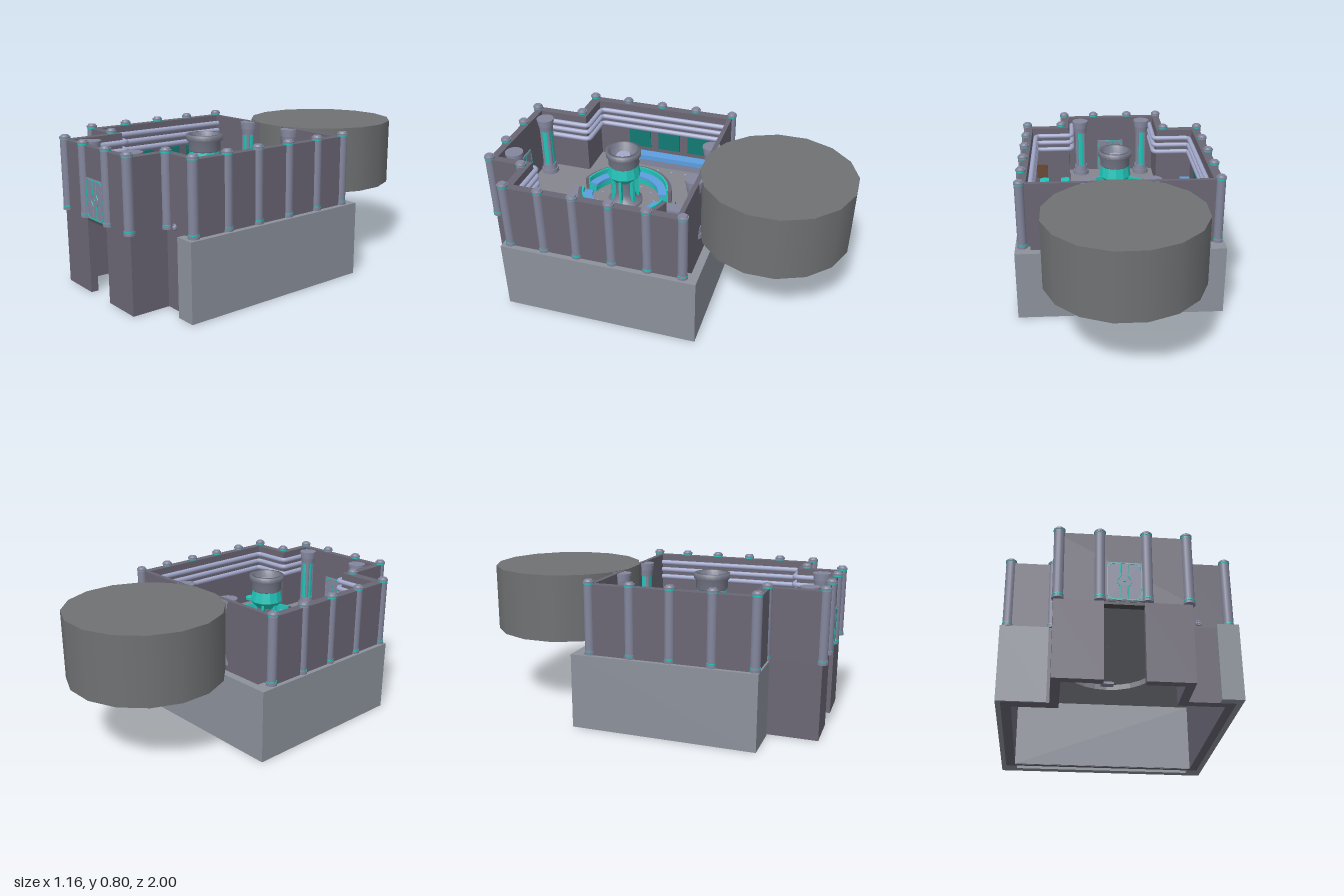
import * as THREE from 'three';

const mat = (color, extra = {}) => new THREE.MeshStandardMaterial({ color, ...extra });
const M = {
  wall: mat(0x6a6674), stone: mat(0x8c919b), column: mat(0x83869c), floor: mat(0x85868f),
  drum: mat(0x6f7173), dark: mat(0x4a4a50), teal: mat(0x22c4b8), screen: mat(0x127a74),
  blue: mat(0x5c9fe0), pipe: mat(0xa3a9cc), brown: mat(0x6b4a35),
  bowl: mat(0x757888, { side: THREE.DoubleSide }),
  tealFacet: mat(0x22c4b8, { flatShading: true, side: THREE.DoubleSide }),
};

// Room footprint as [x, z] corners, outer and inner face of the wall
const OUTER = [[-0.56, -0.2], [0.55, -0.2], [0.55, 0.77], [0.32, 0.77], [0.32, 0.975],
  [-0.33, 0.975], [-0.33, 0.7], [-0.56, 0.7]];
const INNER = [[-0.51, -0.175], [0.505, -0.175], [0.505, 0.725], [0.275, 0.725], [0.275, 0.935],
  [-0.285, 0.935], [-0.285, 0.645], [-0.51, 0.645]];

export function createModel() {
  const root = new THREE.Group();

  const add = (name, geo, material, x = 0, y = 0, z = 0, parent = root) => {
    const m = new THREE.Mesh(geo, material);
    m.name = name;
    m.position.set(x, y, z);
    parent.add(m);
    return m;
  };
  const box = (name, material, x0, x1, y0, y1, z0, z1) => add(name,
    new THREE.BoxGeometry(x1 - x0, y1 - y0, z1 - z0), material, (x0 + x1) / 2, (y0 + y1) / 2, (z0 + z1) / 2);
  const cyl = (name, material, r0, r1, y0, y1, x, z, n = 16, parent = root) => add(name,
    new THREE.CylinderGeometry(r1, r0, y1 - y0, n), material, x, (y0 + y1) / 2, z, parent);
  const vec = pts => pts.map(([x, z]) => new THREE.Vector2(x, -z));
  // Plan shape raised from y0 to y1
  const slab = (name, material, shape, y0, y1, x = 0, z = 0) => {
    const g = new THREE.ExtrudeGeometry(shape, { depth: y1 - y0, bevelEnabled: false, curveSegments: 12 });
    return add(name, g.rotateX(-Math.PI / 2), material, x, y0, z);
  };
  // Corners are reversed to run counter-clockwise, so that holes face the right way
  const plan = pts => new THREE.Shape(vec(pts).reverse());
  const octagon = (w, h, c) => [[-w, -h + c], [-w + c, -h], [w - c, -h], [w, -h + c],
    [w, h - c], [w - c, h], [-w + c, h], [-w, h - c]].map(([x, y]) => new THREE.Vector2(x, y));

  // Lower storey: thin dark walls with an open doorway at the front
  const door = 0.095;
  slab('lowerWalls', M.wall, plan([
    [door, 0.975], ...[4, 3, 2, 1, 0, 7, 6, 5].map(i => OUTER[i]), [-door, 0.975],
    [-door, 0.935], ...[5, 6, 7, 0, 1, 2, 3, 4].map(i => INNER[i]), [door, 0.935]]), 0, 0.405);
  box('doorLintel', M.dark, -door, door, 0.39, 0.405, 0.935, 0.972);
  box('backLining', M.stone, -0.51, 0.505, 0.002, 0.39, -0.176, -0.17);

  // Stone cladding around the sides and back, leaving a slot behind the back wall
  slab('stoneCladding', M.stone, plan([
    [-0.345, 0.71], [-0.585, 0.71], [-0.585, -0.29], [0.58, -0.29], [0.58, 0.815], [0.47, 0.815],
    [0.47, 0.77], [0.55, 0.77], [0.55, -0.2], [0.495, -0.2], [0.495, -0.245], [-0.5, -0.245],
    [-0.5, -0.2], [-0.56, -0.2], [-0.56, 0.7], [-0.345, 0.7]]), 0, 0.404);

  // Floor between the storeys, with a round well beneath the dais
  const floor = plan(INNER);
  floor.holes.push(new THREE.Path().absarc(0, -0.3, 0.26, 0, Math.PI * 2, true));
  slab('floor', M.floor, floor, 0.39, 0.408);

  // Upper walls
  const ring = plan(OUTER);
  ring.holes.push(new THREE.Path(vec(INNER)));
  slab('upperWalls', M.wall, ring, 0.405, 0.777);

  // Columns around the outside
  const spots = [
    ...[-0.195, 0.03, 0.245, 0.465, 0.685].map(z => [-0.548, z]),
    ...[-0.21, -0.02, 0.18, 0.38, 0.57, 0.77].map(z => [0.54, z]),
    ...[-0.31, -0.115, 0.11, 0.305].map(x => [x, 0.97]), [-0.33, 0.685], [0.325, 0.77]];
  for (const [x, z] of spots) {
    const g = new THREE.Group();
    g.name = 'outerColumn';
    root.add(g);
    cyl('shaft', M.column, 0.026, 0.026, 0.405, 0.786, x, z, 16, g);
    cyl('foot', M.column, 0.029, 0.029, 0.405, 0.418, x, z, 16, g);
    cyl('head', M.column, 0.029, 0.029, 0.785, 0.793, x, z, 16, g);
    cyl('cap', M.column, 0.024, 0.02, 0.793, 0.802, x, z, 16, g);
    for (const y of [0.422, 0.778]) cyl('tealBand', M.teal, 0.0275, 0.0275, y, y + 0.006, x, z, 16, g);
  }

  // Round side chamber behind the room
  add('drum', new THREE.CylinderGeometry(0.423, 0.423, 0.373, 16).rotateY(Math.PI / 16), M.drum, 0, 0.5925, -0.585);

  // Front door, shown on both faces of the wall
  const trim = new THREE.Shape(octagon(0.083, 0.102, 0.022));
  trim.holes.push(new THREE.Path(octagon(0.078, 0.097, 0.02)));
  for (const [z, turn] of [[0.975, 0], [0.935, Math.PI]]) {
    const g = new THREE.Group();
    g.name = 'frontDoor';
    g.position.set(0, 0.513, z);
    g.rotation.y = turn;
    root.add(g);
    add('doorPanel', new THREE.BoxGeometry(0.17, 0.21, 0.01), M.column, 0, 0, 0.001, g);
    add('doorTrim', new THREE.ExtrudeGeometry(trim, { depth: 0.004, bevelEnabled: false }), M.teal, 0, 0, 0.004, g);
    for (const s of [-1, 1]) {
      const line = [[0.017, -0.097], [0.017, -0.03], [0.033, -0.008], [0.033, 0.008], [0.017, 0.03], [0.017, 0.097]];
      const path = new THREE.CurvePath();
      for (let i = 1; i < line.length; i++) path.add(new THREE.LineCurve3(
        new THREE.Vector3(s * line[i - 1][0], line[i - 1][1], 0), new THREE.Vector3(s * line[i][0], line[i][1], 0)));
      add('doorSeam', new THREE.TubeGeometry(path, 40, 0.003, 6), M.teal, 0, 0, 0.006, g);
    }
    add('doorStud', new THREE.SphereGeometry(0.005, 10, 8), M.teal, 0, 0, 0.006, g);
  }
  add('wallLamp', new THREE.TorusGeometry(0.012, 0.005, 8, 16), M.column, 0.39, 0.427, 0.774);
  add('wallLampCore', new THREE.SphereGeometry(0.009, 12, 8), M.pipe, 0.39, 0.427, 0.772);

  // Three pipes along each side wall
  const runs = [[[-0.49, -0.17], [-0.49, 0.625], [-0.265, 0.625], [-0.265, 0.93]],
    [[0.487, -0.17], [0.487, 0.71], [0.257, 0.71], [0.257, 0.93]]];
  for (const run of runs) for (const y of [0.64, 0.685, 0.73]) {
    const p = run.map(([x, z]) => new THREE.Vector3(x, y, z));
    const path = new THREE.CurvePath();
    let from = p[0];
    for (let i = 1; i < 3; i++) {
      const a = p[i].clone().add(p[i - 1].clone().sub(p[i]).setLength(0.03));
      const b = p[i].clone().add(p[i + 1].clone().sub(p[i]).setLength(0.03));
      path.add(new THREE.LineCurve3(from, a));
      path.add(new THREE.QuadraticBezierCurve3(a, p[i], b));
      from = b;
    }
    path.add(new THREE.LineCurve3(from, p[3]));
    add('wallPipe', new THREE.TubeGeometry(path, 90, 0.015, 8), M.pipe);
  }

  // Inner columns with teal shafts
  for (const [x, z] of [[-0.18, -0.165], [0.175, -0.165], [-0.205, 0.875], [0.2, 0.875]]) {
    const g = new THREE.Group();
    g.name = 'innerColumn';
    root.add(g);
    cyl('foot', M.column, 0.052, 0.05, 0.408, 0.435, x, z, 20, g);
    cyl('collar', M.column, 0.044, 0.04, 0.435, 0.47, x, z, 20, g);
    cyl('tealShaft', M.teal, 0.034, 0.034, 0.47, 0.7, x, z, 20, g);
    for (let i = 0; i < 4; i++) {
      const a = Math.PI * (i / 2 + 0.25);
      cyl('rib', M.column, 0.012, 0.012, 0.47, 0.7, x + 0.029 * Math.cos(a), z + 0.029 * Math.sin(a), 8, g);
    }
    cyl('neck', M.column, 0.04, 0.044, 0.7, 0.735, x, z, 20, g);
    cyl('head', M.column, 0.046, 0.046, 0.735, 0.76, x, z, 20, g);
    cyl('headRing', M.column, 0.051, 0.051, 0.76, 0.775, x, z, 20, g);
  }

  // Round dais over the well, with two curved benches open towards front and back
  const rim = new THREE.Shape(Array.from({ length: 12 }, (_, i) =>
    new THREE.Vector2(0.295 * Math.cos((i + 0.5) * Math.PI / 6), 0.295 * Math.sin((i + 0.5) * Math.PI / 6))));
  rim.holes.push(new THREE.Path().absarc(0, 0, 0.26, 0, Math.PI * 2, true));
  slab('daisRim', M.floor, rim, 0.408, 0.428, 0, 0.3);
  cyl('daisTop', M.floor, 0.262, 0.262, 0.422, 0.43, 0, 0.3, 24);
  const sector = (name, material, r0, r1, y0, y1, start) => {
    const s = new THREE.Shape().absarc(0, 0, r1, start, start + Math.PI - 0.36, false);
    s.absarc(0, 0, r0, start + Math.PI - 0.36, start, true);
    slab(name, material, s, y0, y1, 0, 0.3);
  };
  for (const start of [-Math.PI / 2 + 0.18, Math.PI / 2 + 0.18]) {
    sector('benchBase', M.teal, 0.2, 0.24, 0.428, 0.47, start);
    sector('benchSeat', M.blue, 0.19, 0.24, 0.47, 0.485, start);
    sector('benchBack', M.teal, 0.24, 0.25, 0.428, 0.515, start);
    sector('benchShell', M.wall, 0.25, 0.272, 0.428, 0.505, start);
  }
  for (const [z0, z1] of [[-0.04, 0.085], [0.515, 0.635]]) box('daisStep', M.column, -0.037, 0.037, 0.408, 0.438, z0, z1);
  for (let i = 0; i < 12; i++) {
    const a = (i + 0.5) * Math.PI / 6;
    cyl('floorStud', M.pipe, 0.005, 0.005, 0.428, 0.433, 0.165 * Math.cos(a), 0.3 + 0.165 * Math.sin(a), 8);
  }
  for (let i = 0; i < 6; i++) cyl('floorStud', M.pipe, 0.006, 0.006, 0.408, 0.412, -0.395, 0.05 + i * 0.09, 8);

  // Central pedestal carrying a bowl
  const lathe = (name, material, pts, n) =>
    add(name, new THREE.LatheGeometry(pts.map(p => new THREE.Vector2(...p)), n), material, 0, 0, 0.3);
  lathe('pedestal', M.bowl, [[0.1, 0.428], [0.1, 0.45], [0.07, 0.46], [0.055, 0.5], [0.055, 0.6], [0.075, 0.63]], 20);
  lathe('tealDrum', M.tealFacet, [[0.06, 0.58], [0.094, 0.62], [0.082, 0.69], [0, 0.7]], 12);
  lathe('bowl', M.bowl, [[0.08, 0.68], [0.088, 0.69], [0.088, 0.735], [0.1, 0.745], [0.1, 0.775],
    [0.078, 0.775], [0.07, 0.725], [0, 0.72]], 24);
  cyl('bowlCore', M.pipe, 0.055, 0.038, 0.718, 0.745, 0, 0.3, 20);
  for (let i = 0; i < 6; i++) {
    const fin = add('pedestalFin', new THREE.BoxGeometry(0.03, 0.15, 0.015), M.teal,
      0.065 * Math.cos(i * Math.PI / 3), 0.53, 0.3 + 0.065 * Math.sin(i * Math.PI / 3));
    fin.rotation.y = -i * Math.PI / 3;
  }

  // Corner sofa on the right side, with screens on the wall above
  const sofa = [[-0.497, -0.165], [-0.25, -0.165], [-0.25, -0.1], [-0.4, -0.1], [-0.435, -0.065],
    [-0.435, 0.585], [-0.497, 0.585]];
  slab('sofaBase', M.column, plan(sofa), 0.408, 0.45);
  slab('sofaSeat', M.blue, plan(sofa), 0.45, 0.48);
  for (const z of [0.0, 0.19, 0.38]) box('wallScreen', M.screen, -0.512, -0.503, 0.5, 0.615, z - 0.07, z + 0.07);

  // Counter in the opposite corner, stools and small fittings
  slab('counter', M.bowl, plan([[0.26, -0.17], [0.48, -0.17], [0.48, 0.44], [0.41, 0.44], [0.41, -0.075], [0.26, -0.075]]), 0.408, 0.46);
  for (const x of [0.305, 0.44]) {
    slab('stoolTop', M.teal, new THREE.Shape(octagon(0.028, 0.043, 0.012)), 0.45, 0.468, x, 0.605);
    cyl('stoolLeg', M.column, 0.02, 0.012, 0.408, 0.45, x, 0.605);
  }
  box('lattice', M.brown, 0.42, 0.49, 0.44, 0.53, 0.715, 0.727);
  box('tealCrate', M.teal, 0.11, 0.142, 0.408, 0.45, -0.122, -0.096);
  box('floorBox', M.pipe, 0.322, 0.348, 0.408, 0.43, -0.022, 0.004);

  return root;
}
